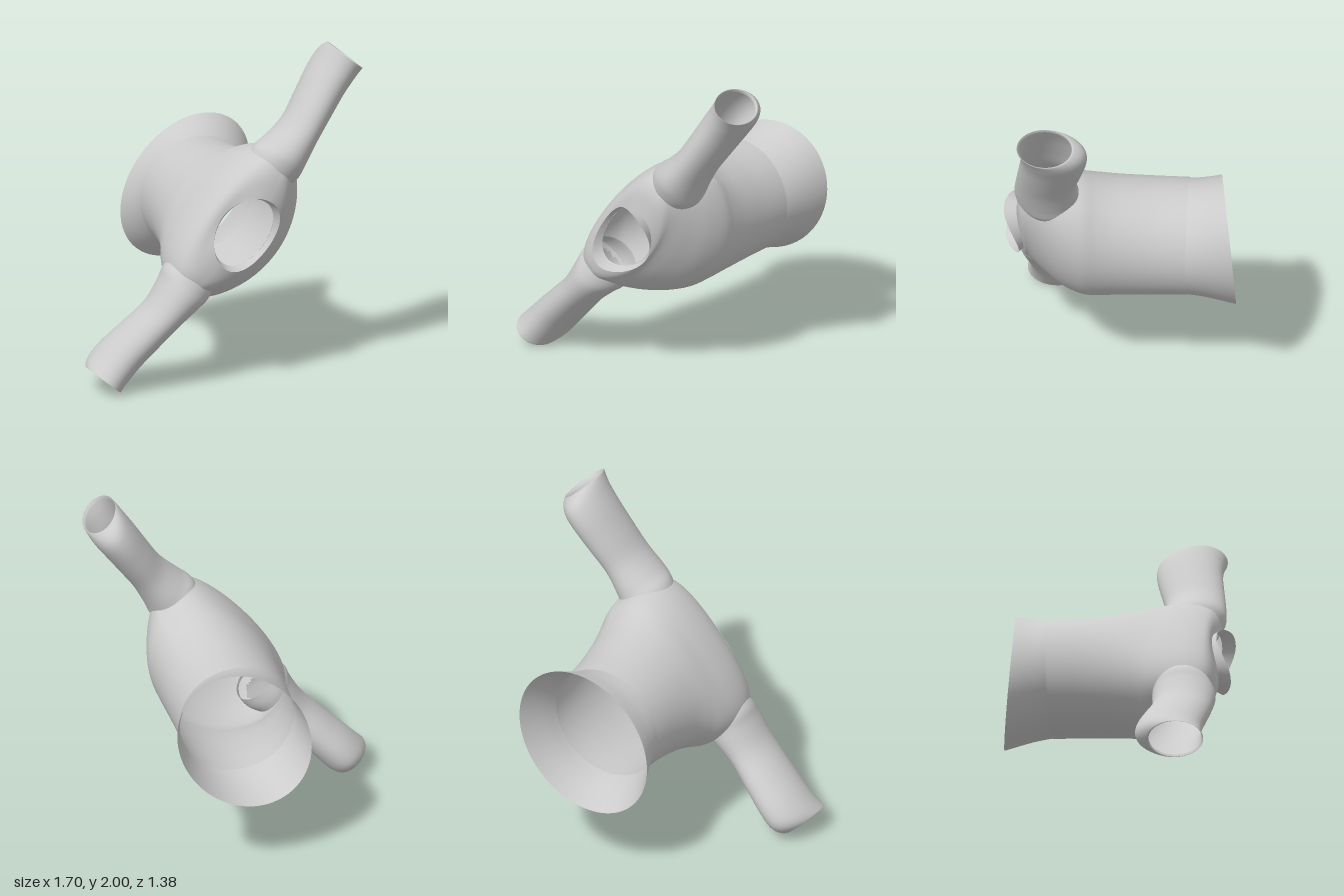
import * as THREE from 'three';

const SIDES = 96;
const material = new THREE.MeshStandardMaterial({ color: 0xcccccc, side: THREE.DoubleSide });

// Smoothly fills in rows of section values
function refine(rows, steps) {
  const out = [];
  const at = i => rows[Math.min(Math.max(i, 0), rows.length - 1)];
  for (let i = 0; i < rows.length - 1; i++) {
    for (let k = 0; k < steps; k++) {
      const t = k / steps;
      out.push(rows[i].map((p1, c) => {
        const p0 = at(i - 1)[c], p2 = at(i + 1)[c], p3 = at(i + 2)[c];
        return p1 + 0.5 * t * (p2 - p0 + t * (2 * p0 - 5 * p1 + 4 * p2 - p3 + t * (3 * (p1 - p2) + p3 - p0)));
      }));
    }
  }
  out.push(rows[rows.length - 1]);
  return out;
}

// Open tube through closed rings; quads whose centre satisfies skip are left out
function loft(name, rows, steps, point, skip = () => false) {
  const rings = refine(rows, steps).map(row =>
    Array.from({ length: SIDES }, (_, j) => point(row, (j / SIDES) * Math.PI * 2)));
  const index = [];
  for (let i = 0; i < rings.length - 1; i++) {
    for (let j = 0; j < SIDES; j++) {
      const n = (j + 1) % SIDES;
      const mid = rings[i][j].clone().add(rings[i + 1][n]).multiplyScalar(0.5);
      if (skip(mid)) continue;
      const a = i * SIDES + j, b = i * SIDES + n, c = a + SIDES, d = b + SIDES;
      index.push(a, b, d, a, d, c);
    }
  }
  const geometry = new THREE.BufferGeometry().setFromPoints(rings.flat());
  geometry.setIndex(index);
  geometry.computeVertexNormals();
  const mesh = new THREE.Mesh(geometry, material);
  mesh.name = name;
  return mesh;
}

// Torso section: [z, centre y, half width, half depth, tilt, shoulder rise, power]
// A power below 1 squares off the back (+y) half and tapers the chest half
function torsoPoint([z, cy, a, b, tilt, rise, power], t) {
  const c = Math.cos(t), s = Math.sin(t);
  const y = b * (s > 0 ? s ** power : -((-s) ** (power ** -0.5)));
  return new THREE.Vector3(a * c, cy + y, z + tilt * y + rise * c * c);
}

// Sleeve section: [distance, centre y, half y, centre z, half z]
const sleevePoint = side => ([d, cy, hy, cz, hz], t) =>
  new THREE.Vector3(side * d, cy + hy * Math.cos(t), cz + side * hz * Math.sin(t));

// Armholes hidden inside the sleeve roots
const inArmhole = p => Math.abs(p.x) > 0.38 &&
  ((p.y + 0.05) / 0.13) ** 2 + ((p.z - 0.41) / 0.15) ** 2 < 1;

export function createModel() {
  const garment = new THREE.Group();
  garment.name = 'garment';
  // The sleeves lie along local x, the torso along z
  garment.rotation.z = Math.atan2(0.773, 0.634);
  garment.position.y = 1;

  // Body from the waist up over the shoulders to the neck
  garment.add(loft('torso', [
    [-0.4, -0.15, 0.358, 0.348, 0, 0, 1],
    [-0.2, -0.15, 0.372, 0.35, 0, 0, 0.97],
    [0, -0.152, 0.41, 0.352, 0, 0, 0.87],
    [0.12, -0.153, 0.45, 0.353, 0, 0, 0.75],
    [0.22, -0.152, 0.495, 0.347, 0, 0, 0.63],
    [0.34, -0.126, 0.515, 0.318, 0, 0, 0.57],
    [0.45, -0.088, 0.505, 0.266, 0, 0, 0.58],
    [0.53, -0.062, 0.465, 0.212, 0, 0.015, 0.65],
    [0.562, -0.067, 0.38, 0.185, 0, 0.035, 0.75],
    [0.572, -0.082, 0.222, 0.157, 0, 0.04, 0.85],
  ], 6, torsoPoint, inArmhole));

  // Flared band below the waist seam
  garment.add(loft('hemBand', [
    [-0.38, -0.15, 0.355, 0.345, 0, 0, 1],
    [-0.4, -0.15, 0.355, 0.345, 0, 0, 1],
    [-0.5, -0.155, 0.398, 0.35, 0.04, 0, 1],
    [-0.642, -0.165, 0.475, 0.373, 0.14, 0, 1],
  ], 4, torsoPoint));

  // Short standing collar, higher at the shoulders
  garment.add(loft('collar', [
    [0.567, -0.082, 0.22, 0.155, 0, 0.04, 0.85],
    [0.598, -0.085, 0.24, 0.178, 0, 0.088, 0.85],
  ], 2, torsoPoint));

  // Sleeves, gathered slightly at the open cuffs
  const sleeveRows = [
    [0.38, -0.05, 0.155, 0.41, 0.165],
    [0.45, -0.05, 0.163, 0.418, 0.182],
    [0.53, -0.05, 0.142, 0.428, 0.188],
    [0.68, -0.045, 0.117, 0.425, 0.18],
    [0.85, -0.028, 0.119, 0.398, 0.188],
    [1.0, -0.012, 0.124, 0.375, 0.195],
    [1.1, -0.005, 0.126, 0.373, 0.197],
    [1.16, 0, 0.124, 0.39, 0.188],
    [1.197, 0.003, 0.119, 0.42, 0.167],
    [1.18, 0.003, 0.11, 0.42, 0.158],
  ];
  for (const side of [1, -1]) {
    garment.add(loft(side > 0 ? 'leftSleeve' : 'rightSleeve', sleeveRows, 5, sleevePoint(side)));
  }

  const model = new THREE.Group();
  model.add(garment);
  return model;
}
